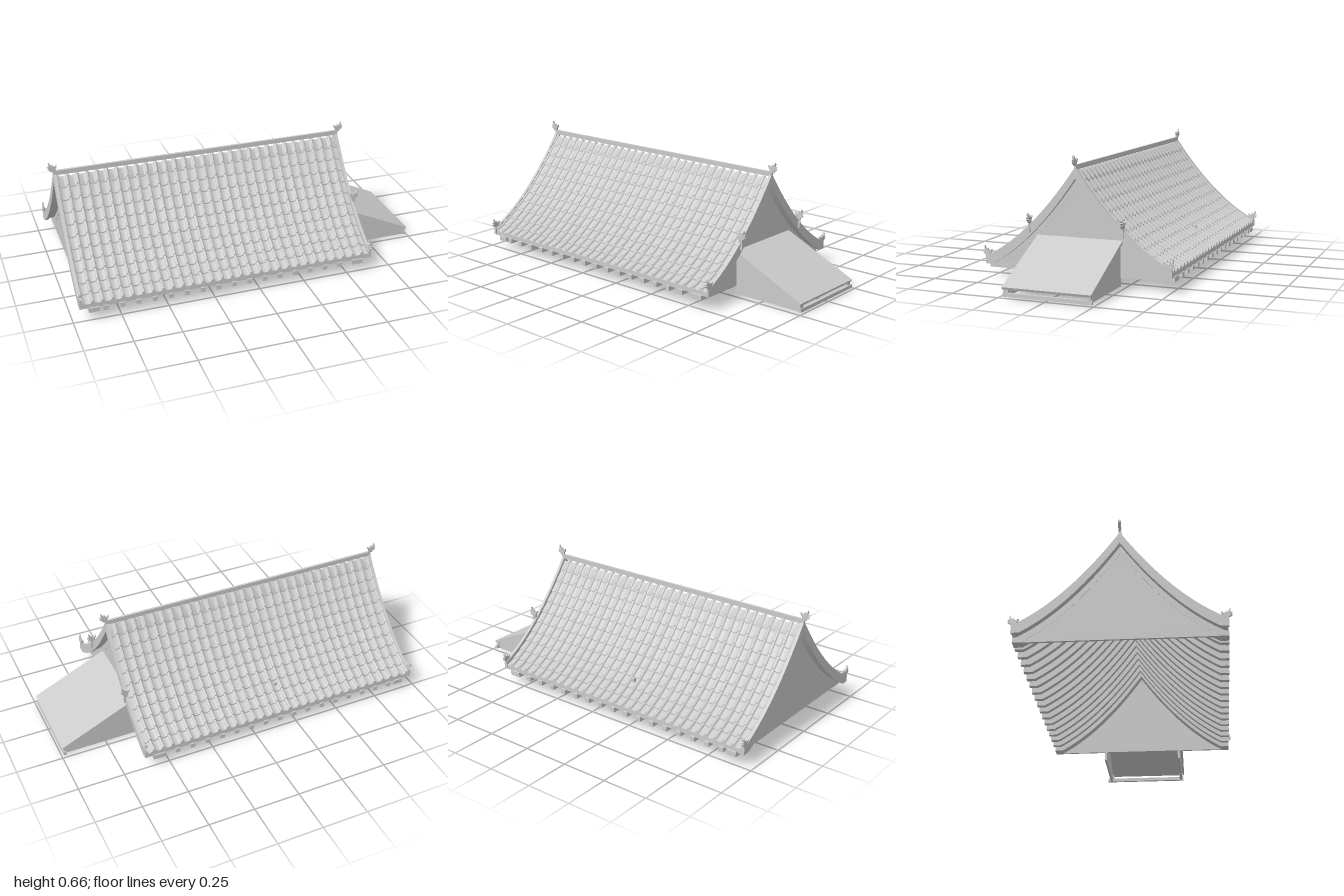
import * as THREE from 'three';
import { toCreasedNormals } from 'three/addons/utils/BufferGeometryUtils.js';

const mat = new THREE.MeshStandardMaterial({ color: 0xcccccc, side: THREE.DoubleSide });
const X0 = -0.965, X1 = 0.635, EAVE = 0.51;

// Sagging roof line: height over distance from the ridge
const roofY = (z) => 0.59 - 1.437 * Math.abs(z) + 0.944 * z * z;

function add(parent, name, geo, x = 0, y = 0, z = 0) {
  const m = new THREE.Mesh(geo, mat);
  m.name = name;
  m.position.set(x, y, z);
  parent.add(m);
  return m;
}
const box = (w, h, d) => new THREE.BoxGeometry(w, h, d);

// Extrudes a (z, y) outline along x, centred on x = 0
function extrudeAlongX(points, width) {
  const geo = new THREE.ExtrudeGeometry(new THREE.Shape(points), { depth: width, bevelEnabled: false });
  geo.translate(0, 0, -width / 2);
  geo.rotateY(-Math.PI / 2);
  return toCreasedNormals(geo, 0.5);
}

// Band following the roof line between two vertical offsets, cut level at the floor height
function roofBand(width, top, bottom, zMax = EAVE, floor = 0.05) {
  const n = 24, upper = [], lower = [];
  for (let i = -n; i <= n; i++) {
    const z = (i / n) * zMax;
    upper.push(new THREE.Vector2(z, roofY(z) + top));
    lower.push(new THREE.Vector2(z, Math.max(floor, roofY(z) + bottom)));
  }
  return extrudeAlongX([...upper, ...lower.reverse()], width);
}

// One slope of tiles: wide dished pans between narrow round ribs, in stepped rows
function tileSlope(side) {
  const cols = 30, rows = 11, arc = 6, pitch = (X1 - X0 - 0.016) / cols;
  const across = [], down = [];
  for (let c = 0; c < cols; c++) {
    const x = X0 + 0.008 + c * pitch;
    for (let k = 0; k <= arc; k++) {
      const a = (k / arc) * Math.PI;
      across.push([x + pitch * 0.17 * (1 - Math.cos(a)), 0.013 * Math.sin(a)]);
    }
    for (let k = 1; k < 4; k++) {
      across.push([x + pitch * (0.34 + 0.165 * k), -0.005 * Math.sin((k / 4) * Math.PI)]);
    }
  }
  across.push([X1 - 0.008, 0]);
  const rowZ = (t) => 0.505 * (0.82 * t + 0.18 * t * t);
  for (let r = 0; r < rows; r++) {
    down.push([rowZ(r / rows), 0], [rowZ((r + 1) / rows), 0.007]);
  }
  down.push([0.505, -0.014]);
  const pos = [], idx = [], w = across.length;
  down.forEach(([z, lift], j) => across.forEach(([x, h], i) => {
    const last = j === down.length - 1;
    pos.push(x, roofY(z) - 0.009 + lift + (last ? 0 : h), z * side);
    if (j && i) {
      const d = j * w + i, b = d - w, c = d - 1, a = b - 1;
      if (side > 0) idx.push(a, c, b, b, c, d);
      else idx.push(a, b, c, b, d, c);
    }
  }));
  const geo = new THREE.BufferGeometry();
  geo.setAttribute('position', new THREE.Float32BufferAttribute(pos, 3));
  geo.setIndex(idx);
  return toCreasedNormals(geo, 0.7);
}

// Small curled beast ornament facing +x, its base on y = 0
function finialGeometry() {
  const s = new THREE.Shape();
  s.moveTo(-0.012, 0);
  s.lineTo(0.01, 0);
  s.quadraticCurveTo(0.011, 0.01, 0.022, 0.012);
  s.lineTo(0.028, 0.019);
  s.lineTo(0.018, 0.021);
  s.lineTo(0.028, 0.03);
  s.lineTo(0.016, 0.033);
  s.quadraticCurveTo(0.024, 0.043, 0.018, 0.053);
  s.quadraticCurveTo(0.015, 0.04, 0.006, 0.032);
  s.lineTo(0, 0.04);
  s.lineTo(-0.004, 0.027);
  s.quadraticCurveTo(-0.013, 0.028, -0.022, 0.036);
  s.quadraticCurveTo(-0.022, 0.022, -0.013, 0.016);
  const geo = new THREE.ExtrudeGeometry(s, { depth: 0.008, bevelEnabled: true, bevelSize: 0.001,
    bevelThickness: 0.002, bevelSegments: 1, curveSegments: 5 });
  return toCreasedNormals(geo.translate(0, 0, -0.004), 0.6);
}

export function createModel() {
  const model = new THREE.Group();
  model.name = 'tiledRoof';
  const midX = (X0 + X1) / 2, len = X1 - X0;

  // Tiles, deck, ridge and one slipped tile
  for (const side of [1, -1]) add(model, side > 0 ? 'frontTiles' : 'backTiles', tileSlope(side));
  add(model, 'roofDeck', roofBand(len - 0.01, -0.02, -0.035, 0.505, 0.075), midX);
  add(model, 'ridgeBeam', box(len, 0.025, 0.012), midX, 0.602);
  add(model, 'looseTile', box(0.016, 0.02, 0.02), -0.18, roofY(0.37) + 0.004, -0.37);

  // Rafters under the deck, their ends showing below the eaves
  const rafter = roofBand(0.026, -0.027, -0.075);
  for (let i = 0; i < 17; i++) add(model, 'rafter', rafter, -0.83 + i * 0.0855);

  // Gable ends: wide rafter, wall below it, verge along the tiles
  const wallPoints = [];
  for (let i = -20; i <= 20; i++) {
    const z = (i / 20) * 0.47;
    wallPoints.push(new THREE.Vector2(z, roofY(z) - 0.065));
  }
  const wall = extrudeAlongX([...wallPoints, new THREE.Vector2(0.47, 0.05), new THREE.Vector2(-0.47, 0.05)], 0.012);
  const endRafter = roofBand(0.055, -0.027, -0.075);
  const verge = roofBand(0.016, 0.014, -0.045, EAVE, 0.078);
  for (const end of [-1, 1]) {
    const x = end > 0 ? X1 : X0;
    add(model, 'gableRafter', endRafter, x - end * 0.075);
    add(model, 'gableWall', wall, x - end * 0.055);
    add(model, 'verge', verge, x - end * 0.008);
  }

  // Beast ornaments on ridge ends, eave corners and the porch-side verge
  const finial = finialGeometry();
  const ornament = (name, x, y, z, turn) => { add(model, name, finial, x, y, z).rotation.y = turn; };
  for (const end of [-1, 1]) {
    const x = end > 0 ? X1 : X0;
    ornament('ridgeFinial', x, 0.61, 0, end > 0 ? 0 : Math.PI);
    for (const side of [-1, 1]) {
      ornament('eaveFinial', x - end * 0.006, 0.117, side * 0.497, -side * Math.PI / 2);
    }
  }
  for (const side of [-1, 1]) {
    ornament('vergeFinial', 0.635, 0.307, side * 0.255, 0);
    add(model, 'vergeFinialPost', box(0.02, 0.05, 0.008), 0.635, 0.284, side * 0.255);
  }

  // Lean-to porch on the left end: sloping slab on two triangular cheeks
  const porch = new THREE.Group();
  porch.name = 'porch';
  model.add(porch);
  const prism = (pts, depth) => new THREE.ExtrudeGeometry(
    new THREE.Shape(pts.map(([x, y]) => new THREE.Vector2(x, y))), { depth, bevelEnabled: false })
    .translate(0, 0, -depth / 2);
  add(porch, 'porchRoof', prism([[0.58, 0.226], [0.986, 0.039], [0.992, 0.052], [0.58, 0.242]], 0.468));
  const cheek = prism([[0.58, 0.005], [0.975, 0.005], [0.975, 0.044], [0.58, 0.228]], 0.012);
  for (const side of [-1, 1]) {
    add(porch, 'porchCheek', cheek, 0, 0, side * 0.216);
    add(porch, 'porchBracket', box(0.02, 0.024, 0.026), 0.975, 0.034, side * 0.215);
    add(porch, 'porchFoot', box(0.012, 0.012, 0.01), 0.97, 0.006, side * 0.2);
  }
  add(porch, 'porchEdgeBar', box(0.016, 0.019, 0.468), 0.982, 0.0145, -0.004);
  return model;
}
